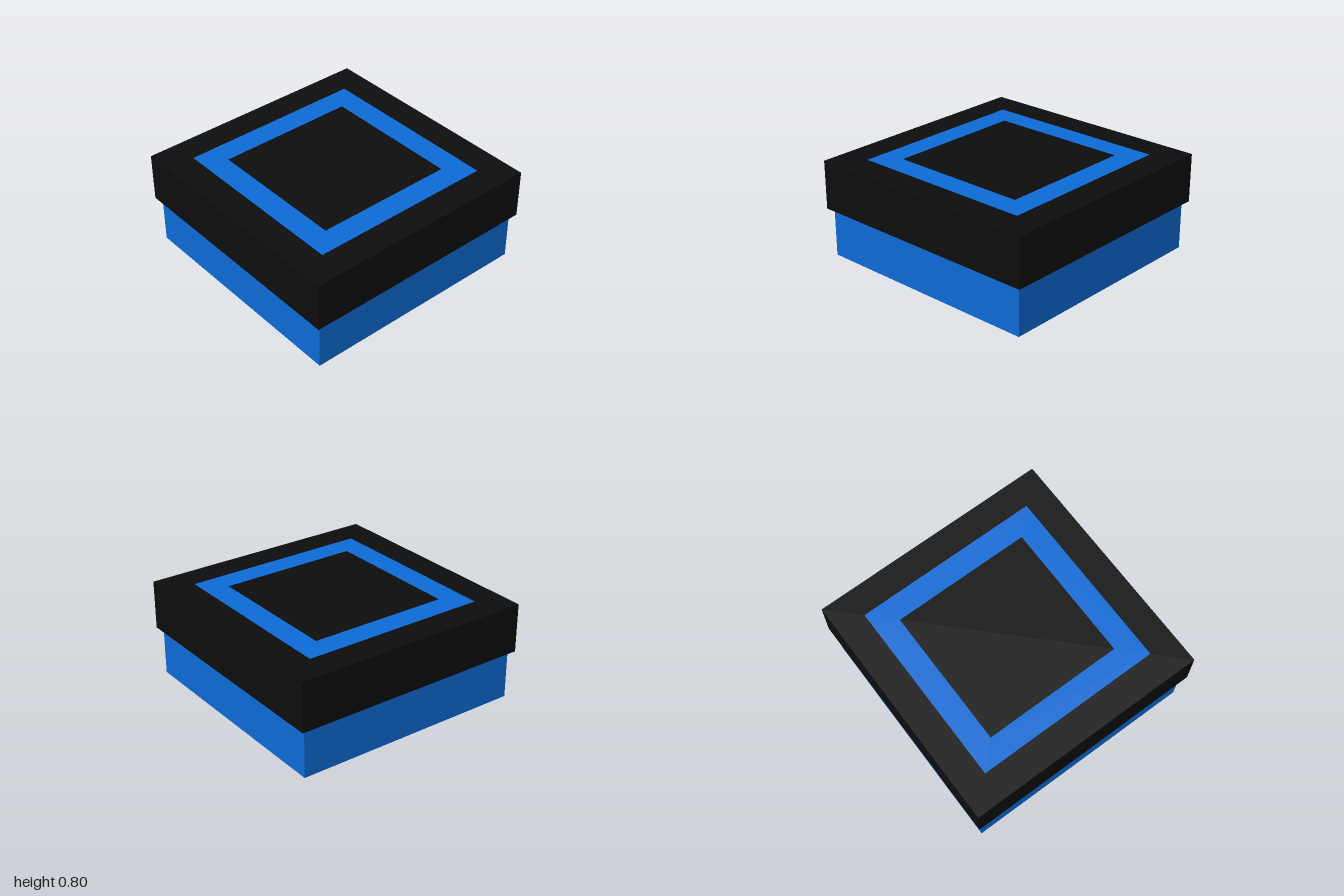
import * as THREE from 'three';

const black = new THREE.MeshStandardMaterial({ color: 0x0d0d0d });
const blue = new THREE.MeshStandardMaterial({ color: 0x0d6bd6 });

// Square slab standing on height y
function slab(name, width, height, y, material) {
  const mesh = new THREE.Mesh(new THREE.BoxGeometry(width, height, width), material);
  mesh.name = name;
  mesh.position.y = y + height / 2;
  return mesh;
}

// Traces a centred square onto a shape or path
function traceSquare(path, half) {
  path.moveTo(-half, -half);
  path.lineTo(half, -half);
  path.lineTo(half, half);
  path.lineTo(-half, half);
  path.closePath();
  return path;
}

export function createModel() {
  const model = new THREE.Group();
  model.name = 'squareBox';

  // Body and overhanging lid
  model.add(slab('base', 1.92, 0.4, 0, blue));
  model.add(slab('lid', 2, 0.4, 0.4, black));

  // Flat square band on top of the lid
  const band = traceSquare(new THREE.Shape(), 0.767);
  band.holes.push(traceSquare(new THREE.Path(), 0.575));
  const lidBand = new THREE.Mesh(new THREE.ShapeGeometry(band), blue);
  lidBand.name = 'lidBand';
  lidBand.rotation.x = -Math.PI / 2;
  lidBand.position.y = 0.801;
  model.add(lidBand);

  return model;
}
